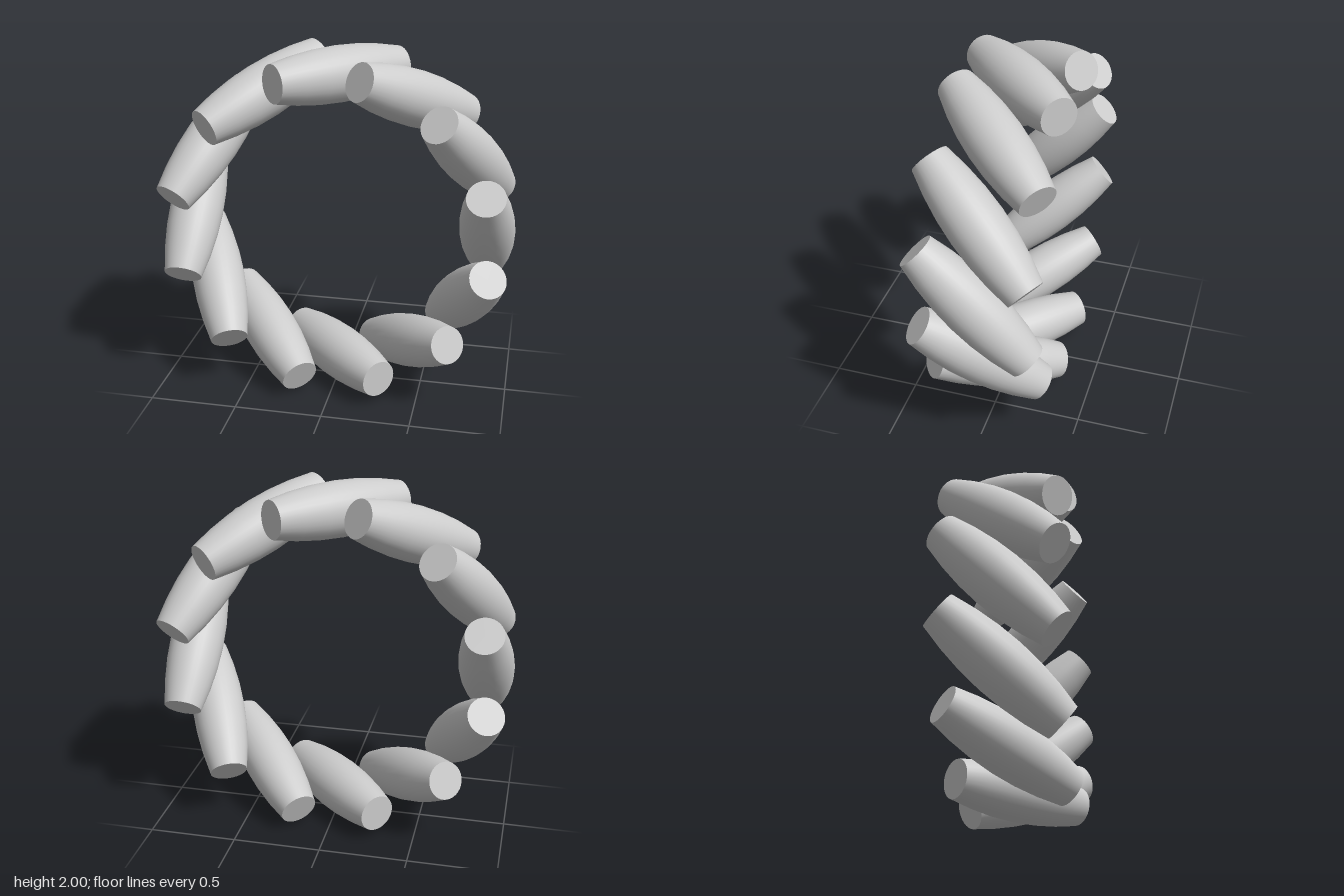
import * as THREE from 'three';

const COUNT = 12;         // rollers around the ring
const RING = 0.845;       // distance of roller centres from the wheel axis
const HALF = 0.413;       // half length of a roller
const STEPS = 6;          // profile segments along a roller
const SIDES = 32;

// Barrel profile that keeps the rolling surface on a circle of radius 1
const barrelRadius = (s) => 1 - Math.sqrt(RING * RING + (s * s) / 2);

export function createModel() {
  const model = new THREE.Group();
  model.name = 'rollerRing';
  const material = new THREE.MeshStandardMaterial({ color: 0xcccccc });

  // Shared barrel body and flat end cap
  const profile = [];
  for (let i = 0; i <= STEPS; i++) {
    const s = -HALF + (2 * HALF * i) / STEPS;
    profile.push(new THREE.Vector2(barrelRadius(s), s));
  }
  const barrel = new THREE.LatheGeometry(profile, SIDES);
  const cap = new THREE.CircleGeometry(barrelRadius(HALF), SIDES);

  const up = new THREE.Vector3(0, 1, 0);
  for (let i = 0; i < COUNT; i++) {
    const a = (i / COUNT) * Math.PI * 2;
    const roller = new THREE.Group();
    roller.name = `roller${i + 1}`;

    const body = new THREE.Mesh(barrel, material);
    body.name = 'rollerBody';
    roller.add(body);
    for (const side of [-1, 1]) {
      const end = new THREE.Mesh(cap, material);
      end.name = side > 0 ? 'frontCap' : 'backCap';
      end.position.y = side * HALF;
      end.rotation.x = -side * Math.PI / 2;
      roller.add(end);
    }

    // Each roller leans 45 degrees between the ring tangent and the wheel axis
    const axis = new THREE.Vector3(-Math.sin(a), Math.cos(a), 1).normalize();
    roller.quaternion.setFromUnitVectors(up, axis);
    roller.position.set(RING * Math.cos(a), 1 + RING * Math.sin(a), 0);
    model.add(roller);
  }
  return model;
}
